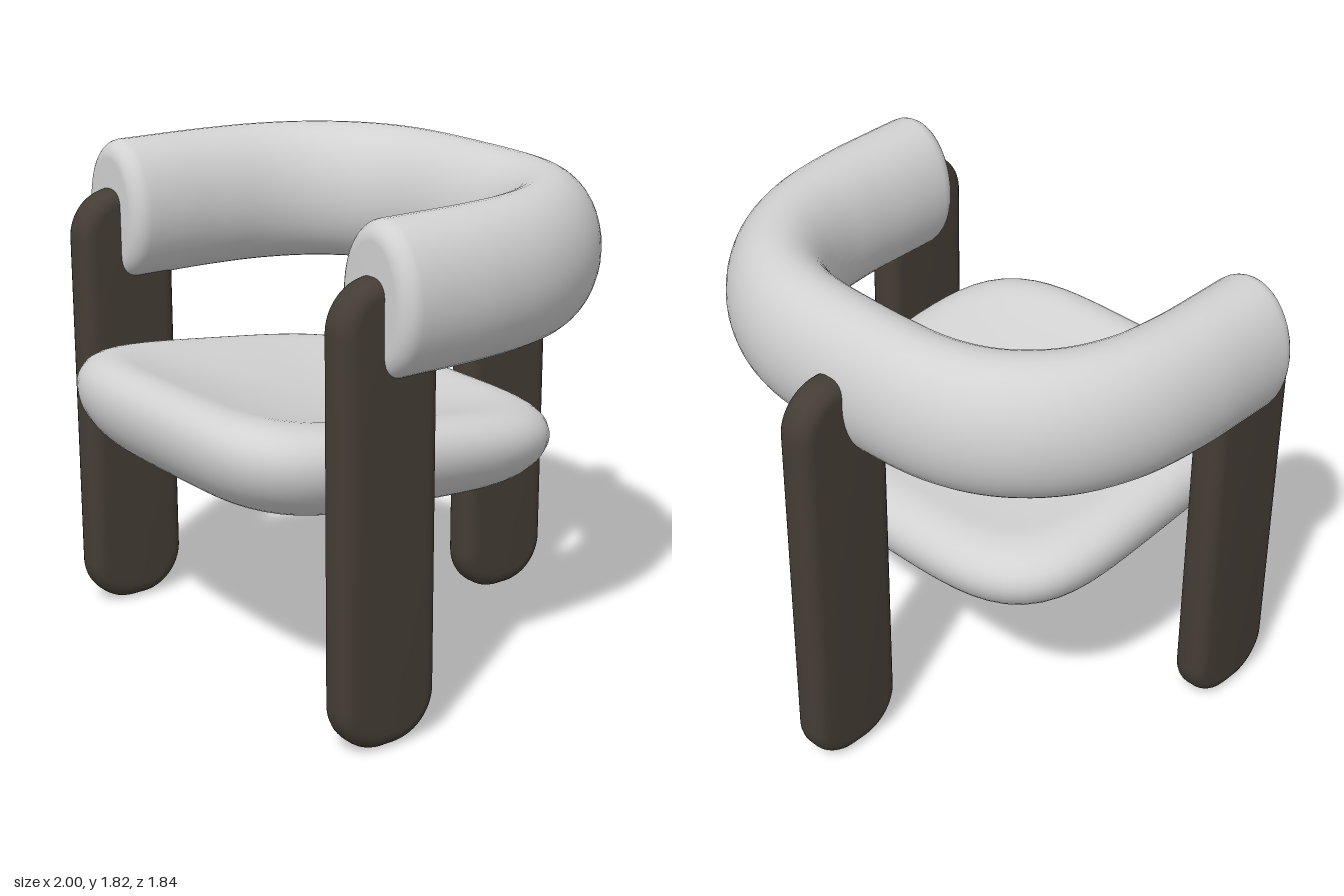
import * as THREE from 'three';
import { mergeVertices, toCreasedNormals } from 'three/addons/utils/BufferGeometryUtils.js';

// Closed smooth body: rows of rings from pole to pole, each point given by a rule(row, angle).
function ringBody(around, rows, rule) {
  const geo = new THREE.SphereGeometry(1, around, rows);
  const pos = geo.attributes.position;
  for (let j = 0, i = 0; j <= rows; j++) {
    for (let k = 0; k <= around; k++, i++) {
      const p = rule(j, ((k % around) / around) * Math.PI * 2);
      pos.setXYZ(i, p.x, p.y, p.z);
    }
  }
  geo.deleteAttribute('uv');
  geo.deleteAttribute('normal');
  const merged = mergeVertices(geo, 1e-5);
  merged.computeVertexNormals();
  return merged;
}

// Upright slab with rounded corners and softened edges, standing on y = 0
function legGeometry() {
  const bevel = 0.055, w = 0.2 - bevel, b = bevel, t = 1.64 - bevel, r = 0.12;
  const s = new THREE.Shape();
  s.moveTo(-w + r, b);
  s.lineTo(w - r, b);
  s.absarc(w - r, b + r, r, -Math.PI / 2, 0);
  s.lineTo(w, t - r);
  s.absarc(w - r, t - r, r, 0, Math.PI / 2);
  s.lineTo(-w + r, t);
  s.absarc(-w + r, t - r, r, Math.PI / 2, Math.PI);
  s.lineTo(-w, b + r);
  s.absarc(-w + r, b + r, r, Math.PI, Math.PI * 1.5);
  const depth = 0.14 - 2 * bevel;
  const geo = new THREE.ExtrudeGeometry(s, {
    depth, bevelEnabled: true, bevelSize: bevel, bevelThickness: bevel, bevelSegments: 6, curveSegments: 12,
  });
  geo.translate(0, 0, -depth / 2);
  geo.rotateY(Math.PI / 2);
  return toCreasedNormals(geo, 0.6);
}

// Horseshoe roll with an oval section and softly rounded flat ends
function backrestGeometry() {
  const half = [[0.81, 0.54], [0.81, 0.34], [0.805, 0.13], [0.77, -0.1], [0.685, -0.29], [0.54, -0.44], [0.35, -0.525]];
  const pts = [...half, [0, -0.55], ...half.slice().reverse().map(([x, z]) => [-x, z])];
  const curve = new THREE.CatmullRomCurve3(pts.map(([x, z]) => new THREE.Vector3(x, 1.555, z)), false, 'centripetal');
  curve.arcLengthDivisions = 600;
  const length = curve.getLength(), round = 0.065, steps = 7, middle = 80;

  // [distance along the path, inset of the section]; null inset closes the end
  const start = [[0, null]];
  for (let i = 0; i <= steps; i++) {
    const a = (i / steps) * Math.PI / 2;
    start.push([round * (1 - Math.cos(a)), round * (1 - Math.sin(a))]);
  }
  const rows = [...start];
  for (let i = 1; i < middle; i++) rows.push([round + (length - 2 * round) * i / middle, 0]);
  rows.push(...start.slice().reverse().map(([d, inset]) => [length - d, inset]));

  const up = new THREE.Vector3(0, 1, 0);
  const frames = rows.map(([d, inset]) => {
    const u = THREE.MathUtils.clamp(d / length, 0, 1);
    const side = new THREE.Vector3().crossVectors(up, curve.getTangentAt(u)).normalize();
    return { c: curve.getPointAt(u), side, rx: inset === null ? 0 : 0.19 - inset, ry: inset === null ? 0 : 0.265 - inset };
  });
  return ringBody(40, rows.length - 1, (j, a) => {
    const f = frames[j];
    return f.c.clone().addScaledVector(f.side, -Math.cos(a) * f.rx).addScaledVector(up, Math.sin(a) * f.ry);
  });
}

// Dished pillow: rounded-square plan, thick rolled rim, sagging centre, higher at the front
function seatGeometry() {
  const halfRows = 22, flat = 0.76;
  return ringBody(80, halfRows * 2, (j, a) => {
    const top = j <= halfRows;
    const s = (top ? j : halfRows * 2 - j) / halfRows;
    const roll = Math.max(0, (s - 0.5) * 2) * Math.PI / 2;
    const r = s < 0.5 ? flat * s * 2 : flat + (1 - flat) * Math.sin(roll);
    const c = -Math.cos(a), d = Math.sin(a);
    const k = r / Math.pow(c ** 4 + d ** 4, 0.25);
    const x = 0.745 * k * c, z = 0.2 + 0.72 * k * d;
    const mid = 0.925 + 0.1 * (z - 0.2) - 0.1 * (1 - r * r);
    const h = (0.155 + 0.025 * (z - 0.2)) * Math.cos(roll);
    return new THREE.Vector3(x, mid + (top ? h : -h), z);
  });
}

export function createModel() {
  const group = new THREE.Group();
  const fabric = new THREE.MeshStandardMaterial({ color: 0xd2d2d3 });
  fabric.name = 'lightGreyFabric';
  const wood = new THREE.MeshStandardMaterial({ color: 0x443d35 });
  wood.name = 'darkWood';

  const add = (name, geo, mat, x = 0, z = 0) => {
    const mesh = new THREE.Mesh(geo, mat);
    mesh.name = name;
    mesh.position.set(x, 0, z);
    group.add(mesh);
  };

  add('seat', seatGeometry(), fabric);
  add('backrest', backrestGeometry(), fabric);

  const leg = legGeometry();
  add('leftFrontLeg', leg, wood, 0.81, 0.5);
  add('rightFrontLeg', leg, wood, -0.81, 0.5);
  add('backLeg', leg, wood, -0.03, -0.72);
  return group;
}
